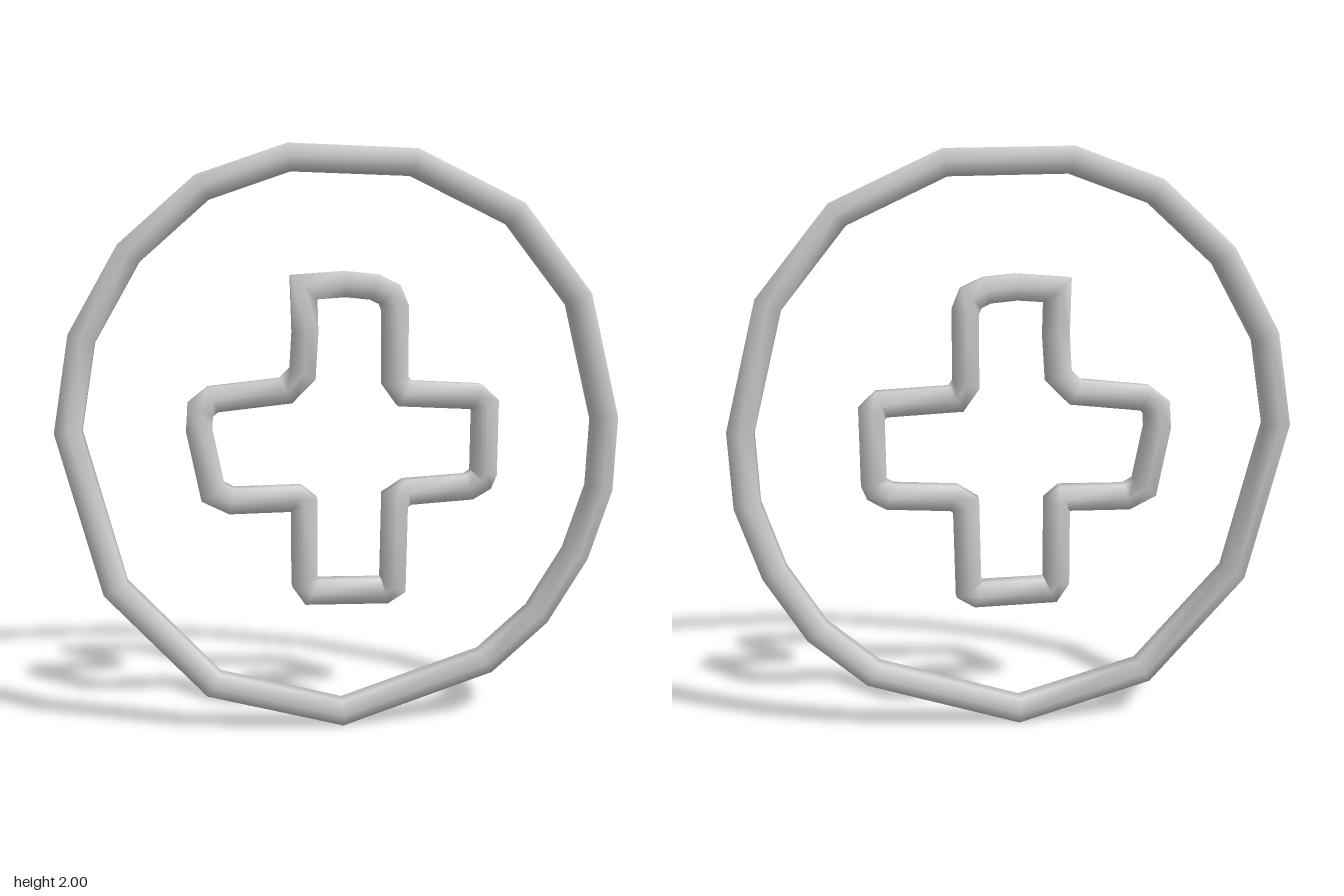
import * as THREE from 'three';

const SIDES = 6, RADIUS = 0.05;

// Closed six-sided tube with mitred corners along a loop of [x, y] points
function loopTube(name, points) {
  const pts = points.map(([x, y]) => new THREE.Vector2(x, y));
  const n = pts.length, pos = [], idx = [];
  for (let i = 0; i < n; i++) {
    const before = pts[i].clone().sub(pts[(i + n - 1) % n]).normalize();
    const after = pts[(i + 1) % n].clone().sub(pts[i]).normalize();
    const t = before.clone().add(after).normalize();
    const miter = RADIUS / Math.max(t.dot(after), 0.65);
    for (let j = 0; j < SIDES; j++) {
      const a = ((j + 0.5) / SIDES) * Math.PI * 2;
      const w = Math.cos(a) * miter;
      pos.push(pts[i].x - t.y * w, pts[i].y + t.x * w, Math.sin(a) * RADIUS);
      const k = (j + 1) % SIDES, p = i * SIDES, q = ((i + 1) % n) * SIDES;
      idx.push(p + j, p + k, q + j, p + k, q + k, q + j);
    }
  }
  const geo = new THREE.BufferGeometry();
  geo.setAttribute('position', new THREE.Float32BufferAttribute(pos, 3));
  geo.setIndex(idx);
  geo.computeVertexNormals();
  const mesh = new THREE.Mesh(geo, new THREE.MeshStandardMaterial({ color: 0xcccccc }));
  mesh.name = name;
  return mesh;
}

export function createModel() {
  const group = new THREE.Group();
  group.name = 'crossInRing';

  // Uneven outer ring, clockwise from the top
  group.add(loopTube('outerRing', [
    [-0.183, 1.956], [0.233, 1.945], [0.582, 1.78], [0.812, 1.493],
    [0.918, 1.077], [0.907, 0.83], [0.828, 0.594], [0.693, 0.377],
    [0.505, 0.212], [-0.008, 0.046], [-0.458, 0.17], [-0.783, 0.525],
    [-0.921, 1.061], [-0.868, 1.369], [-0.709, 1.645], [-0.468, 1.857],
  ]));

  // Hand-drawn cross outline, clockwise from its top corner
  group.add(loopTube('crossOutline', [
    [-0.138, 1.535], [0, 1.545], [0.1, 1.535], [0.153, 1.51], [0.172, 1.465],
    [0.172, 1.222], [0.206, 1.175], [0.455, 1.162], [0.489, 1.13],
    [0.487, 0.896], [0.476, 0.87], [0.434, 0.846], [0.217, 0.833], [0.175, 0.806],
    [0.169, 0.504], [0.138, 0.485], [-0.116, 0.49], [-0.14, 0.525],
    [-0.14, 0.8], [-0.164, 0.82], [-0.386, 0.817], [-0.45, 0.849],
    [-0.492, 1.061], [-0.487, 1.13], [-0.444, 1.164],
    [-0.2, 1.19], [-0.143, 1.247], [-0.134, 1.385],
  ]));

  return group;
}
